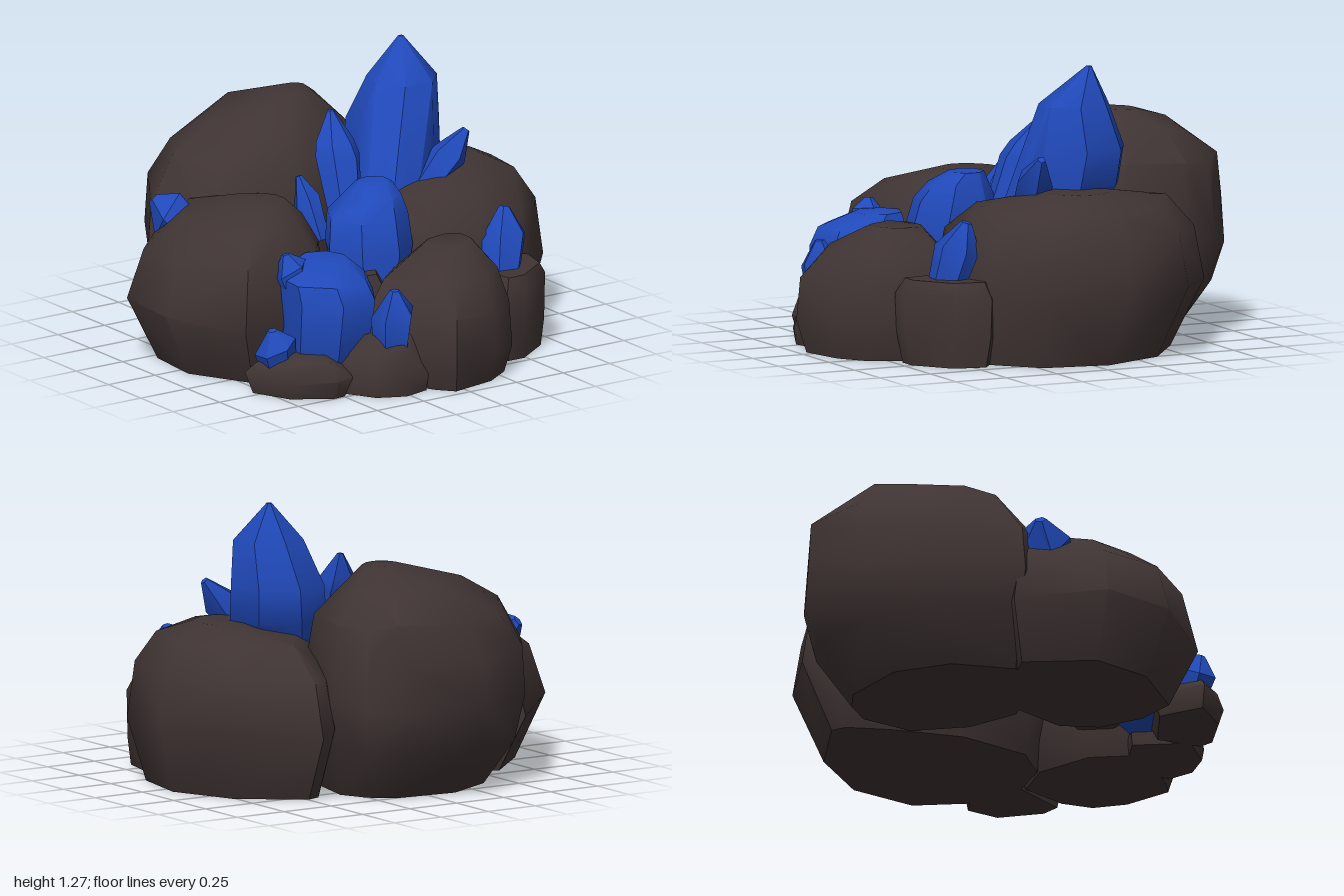
import * as THREE from 'three';
import { toCreasedNormals } from 'three/addons/utils/BufferGeometryUtils.js';
import { ConvexGeometry } from 'three/addons/geometries/ConvexGeometry.js';

const stone = new THREE.MeshStandardMaterial({ color: 0x3f3433 });
stone.name = 'darkStone';
const blue = new THREE.MeshStandardMaterial({ color: 0x2049ba });
blue.name = 'blueCrystal';

function hull(name, points, crease, material) {
  const mesh = new THREE.Mesh(toCreasedNormals(new ConvexGeometry(points), crease), material);
  mesh.name = name;
  return mesh;
}

// Boulder: a plan outline [x, z] repeated at rings [y, scale, dx, dz], wrapped in a hull
function boulder(name, [cx, cz], outline, rings) {
  const points = [];
  rings.forEach(([y, s, dx = 0, dz = 0], r) => {
    outline.forEach(([x, z], i) => {
      const wobble = r === 0 || r === rings.length - 1 ? 0 : 0.018 * Math.sin(i * 2.3 + r * 1.9);
      points.push(new THREE.Vector3(cx + (x - cx) * s + dx, y + wobble, cz + (z - cz) * s + dz));
    });
  });
  return hull(name, points, 0.85, stone);
}

// Large crystal: polygon rings [y, x, z, radius], wrapped in a hull
function largeCrystal(name, sides, turn, rings) {
  const points = [];
  for (const [y, x, z, r] of rings) {
    for (let i = 0; i < sides; i++) {
      const a = turn + (i / sides) * Math.PI * 2;
      points.push(new THREE.Vector3(x + r * Math.cos(a), y, z + r * Math.sin(a)));
    }
  }
  return hull(name, points, 0.7, blue);
}

// Small crystal: faceted shaft from base to tip with a tilted shoulder
function smallCrystal(name, base, tip, r, sides, turn) {
  const a = new THREE.Vector3(...base);
  const axis = new THREE.Vector3(...tip).sub(a);
  const L = axis.length();
  const profile = [[0, 0], [r * 0.8, 0], [r, L * 0.6], [r * 0.22, L], [0, L]];
  const geo = new THREE.LatheGeometry(profile.map(p => new THREE.Vector2(...p)), sides);
  geo.rotateY(turn);
  const p = geo.attributes.position;
  for (let i = 0; i < p.count; i++) {
    const y = p.getY(i);
    if (y > L * 0.1 && y < L * 0.95) p.setY(i, y + 0.2 * p.getX(i) + 0.15 * p.getZ(i));
  }
  const mesh = new THREE.Mesh(toCreasedNormals(geo, 0.7), blue);
  mesh.name = name;
  mesh.position.copy(a);
  mesh.quaternion.setFromUnitVectors(new THREE.Vector3(0, 1, 0), axis.normalize());
  return mesh;
}

export function createModel() {
  const group = new THREE.Group();
  group.name = 'crystalRockCluster';

  // Large boulders
  group.add(
    boulder('backBoulder', [-0.08, -0.58],
      [[-0.69, -0.5], [-0.48, -0.83], [-0.16, -1], [0.24, -0.96], [0.37, -0.85], [0.45, -0.68], [0.38, -0.36], [0.1, -0.14], [-0.22, -0.06], [-0.55, -0.22]],
      [[0, 0.74, 0, 0.11], [0.22, 0.92, 0, 0.02], [0.42, 1], [0.62, 0.97], [0.79, 0.84, 0.06, -0.02], [0.92, 0.55, 0.08, 0], [1.01, 0.15, 0.17, 0.06]]),
    boulder('rightBoulder', [-0.58, 0],
      [[-0.97, -0.26], [-0.67, -0.55], [-0.4, -0.4], [-0.2, -0.14], [-0.2, 0.17], [-0.34, 0.35], [-0.58, 0.44], [-0.81, 0.43], [-1, 0.08]],
      [[0, 0.8, 0.05], [0.27, 1], [0.52, 0.88, 0.02], [0.64, 0.62, 0.06], [0.71, 0.24, 0.16]]),
    boulder('leftBoulder', [0.6, -0.05],
      [[0.44, -0.69], [0.52, -0.72], [0.84, -0.48], [0.99, -0.12], [0.92, 0.24], [0.7, 0.44], [0.42, 0.54], [0.16, 0.44], [0.04, 0.24], [0.1, -0.15], [0.3, -0.5]],
      [[0, 0.83, -0.04, 0.04], [0.31, 1], [0.54, 0.92], [0.67, 0.7], [0.74, 0.24, 0.04, 0]]),
    boulder('frontBoulder', [0.1, 0.7],
      [[-0.3, 0.6], [-0.14, 0.92], [-0.07, 1], [0.18, 0.95], [0.33, 0.85], [0.4, 0.7], [0.4, 0.45], [0.2, 0.36], [-0.1, 0.42]],
      [[0, 0.87], [0.14, 1], [0.32, 0.95], [0.46, 0.76, 0.02, -0.03], [0.575, 0.33, 0.06, -0.07]]));

  // Small stones around the front and in the hollow between the boulders
  group.add(
    boulder('frontLeftStone', [0.55, 0.55],
      [[0.38, 0.74], [0.48, 0.74], [0.68, 0.6], [0.72, 0.43], [0.55, 0.3], [0.34, 0.42]],
      [[0, 0.86], [0.12, 0.97], [0.32, 1], [0.38, 0.82]]),
    boulder('frontRightStone', [-0.28, 0.7],
      [[-0.5, 0.68], [-0.4, 0.85], [-0.27, 0.91], [-0.14, 0.88], [-0.09, 0.65], [-0.3, 0.5]],
      [[0, 0.95], [0.07, 1], [0.19, 0.8], [0.25, 0.55, 0.04]]),
    boulder('sideStone', [-0.62, 0.57],
      [[-0.83, 0.45], [-0.74, 0.65], [-0.55, 0.78], [-0.47, 0.77], [-0.38, 0.55], [-0.6, 0.36]],
      [[0, 0.85], [0.08, 1], [0.15, 0.8], [0.18, 0.5]]),
    boulder('innerStone', [-0.22, 0.38],
      [[-0.42, 0.36], [-0.32, 0.55], [-0.1, 0.56], [0, 0.4], [-0.08, 0.22], [-0.3, 0.16]],
      [[0.12, 0.7], [0.28, 1], [0.44, 0.6]]));

  // Main crystals
  group.add(
    largeCrystal('tallCrystal', 7, 0.3,
      [[0.4, 0.2, 0.05, 0.14], [0.74, 0.375, -0.14, 0.22], [0.9, 0.395, -0.165, 0.212], [1.1, 0.42, -0.13, 0.16], [1.27, 0.45, -0.185, 0.012]]),
    largeCrystal('slimCrystal', 6, 0.2,
      [[0.48, 0, 0.06, 0.07], [0.82, 0.03, -0.07, 0.105], [0.88, 0.035, -0.1, 0.09], [1, 0.055, -0.16, 0.015]]),
    largeCrystal('middleCrystal', 7, 0.5,
      [[0.28, -0.06, 0.31, 0.15], [0.5, -0.04, 0.265, 0.2], [0.64, -0.03, 0.24, 0.185], [0.72, 0, 0.24, 0.13], [0.77, 0.03, 0.21, 0.08]]),
    largeCrystal('frontCrystal', 7, 0.1,
      [[0.06, -0.44, 0.5, 0.16], [0.17, -0.44, 0.52, 0.2], [0.4, -0.42, 0.52, 0.215], [0.48, -0.43, 0.49, 0.2], [0.545, -0.4, 0.43, 0.11]]));

  // Small crystals: name, base, tip, radius
  [
    ['leftLeaningCrystal', [0.36, 0.62, 0.09], [0.59, 0.89, 0.12], 0.085],
    ['tinyInnerCrystal', [-0.14, 0.48, 0.03], [-0.18, 0.76, -0.07], 0.065],
    ['upperSideCrystal', [-0.53, 0.4, 0.42], [-0.57, 0.58, 0.39], 0.085],
    ['lowerSideCrystal', [-0.68, 0.09, 0.5], [-0.73, 0.29, 0.52], 0.095],
    ['frontSmallCrystal', [-0.26, 0.18, 0.77], [-0.26, 0.46, 0.79], 0.1],
    ['frontLeftCrystal', [0.48, 0.3, 0.54], [0.55, 0.63, 0.47], 0.11],
    ['rearSideCrystal', [-0.6, 0.5, -0.28], [-0.71, 0.66, -0.43], 0.12],
  ].forEach(([name, base, tip, r], i) =>
    group.add(smallCrystal(name, base, tip, r, 5 + (i % 2), i * 0.7)));

  return group;
}
